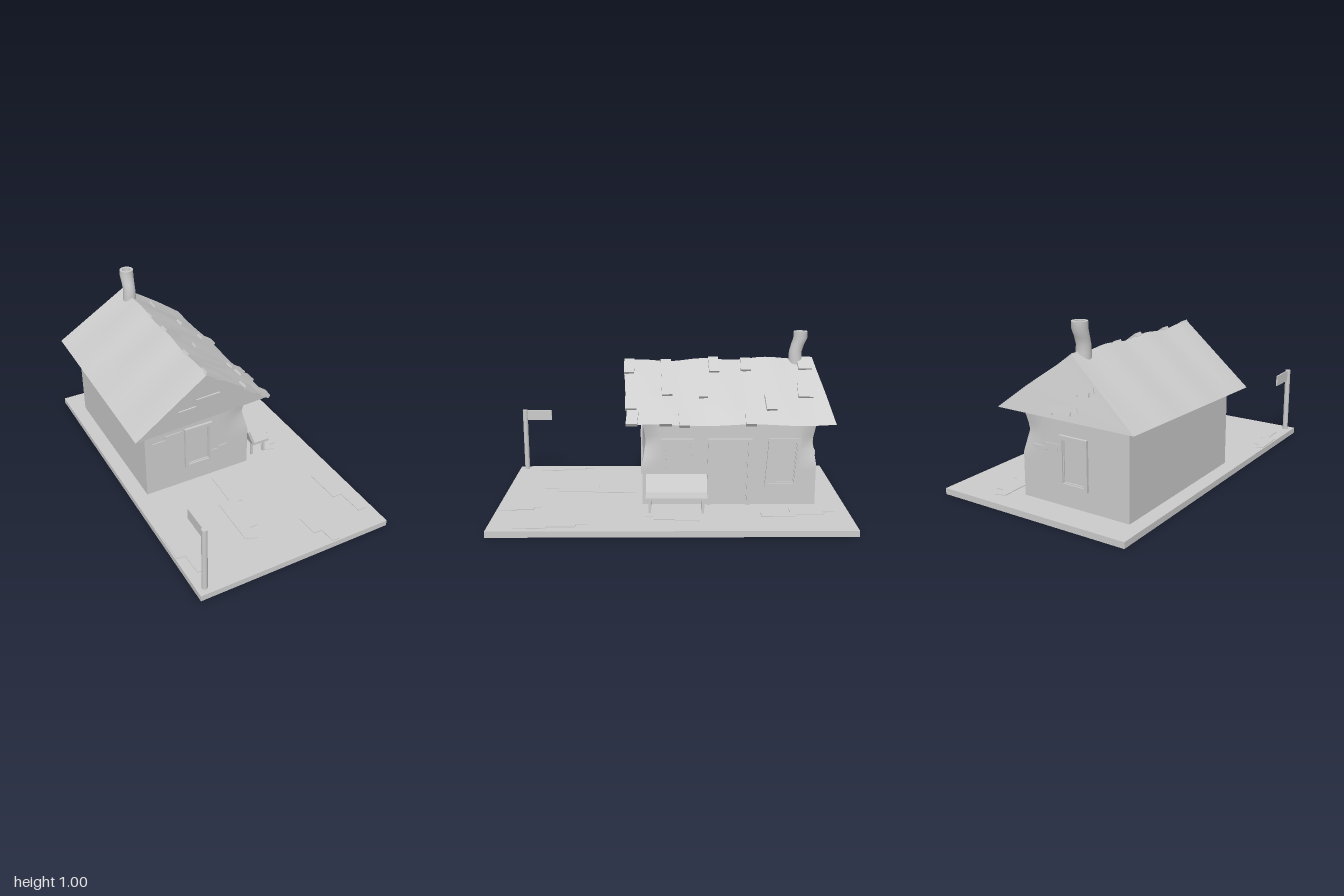
import * as THREE from 'three';
import { toCreasedNormals } from 'three/addons/utils/BufferGeometryUtils.js';

const mat = new THREE.MeshStandardMaterial({ color: 0xcccccc, side: THREE.DoubleSide });
const lerp = THREE.MathUtils.lerp;

export function createModel() {
  const root = new THREE.Group();

  function add(name, geo, parent = root) {
    const m = new THREE.Mesh(geo, mat);
    m.name = name;
    parent.add(m);
    return m;
  }
  // Box from its min and max corners
  function box(name, a, b, parent) {
    const m = add(name, new THREE.BoxGeometry(b[0] - a[0], b[1] - a[1], b[2] - a[2]), parent);
    m.position.set((a[0] + b[0]) / 2, (a[1] + b[1]) / 2, (a[2] + b[2]) / 2);
    return m;
  }
  // Move every vertex by a rule
  function warp(geo, rule) {
    const p = geo.attributes.position, v = new THREE.Vector3();
    for (let i = 0; i < p.count; i++) {
      rule(v.fromBufferAttribute(p, i));
      p.setXYZ(i, v.x, v.y, v.z);
    }
    geo.computeVertexNormals();
    return geo;
  }
  const poly = (pts) => new THREE.Shape(pts.map((p) => new THREE.Vector2(p[0], p[1])));
  const extrude = (shape, depth) => new THREE.ExtrudeGeometry(shape, { depth, bevelEnabled: false });

  // Ground slab
  box('groundSlab', [-0.585, 0, -1], [0.585, 0.035, 1]);

  // Walls: the two +x corners pinch inward near y = 0.41
  const walls = new THREE.BoxGeometry(0.665, 0.49, 1, 10, 12, 20);
  walls.translate(-0.1675, 0.28, -0.33);
  warp(walls, (v) => {
    const band = Math.max(0, 1 - Math.abs(v.y - 0.41) / 0.13);
    const nearEnd = Math.max(0, 1 - (0.5 - Math.abs(v.z + 0.33)) / 0.1);
    const nearSide = Math.max(0, 1 - (0.165 - v.x) / 0.13);
    const k = band * nearEnd * nearSide;
    v.x -= 0.032 * k;
    v.z -= Math.sign(v.z + 0.33) * 0.022 * k;
  });
  add('walls', toCreasedNormals(walls, 0.6));

  // Roof: a sagging closed prism, t runs from front (0) to back (1)
  const ridge = (t) => new THREE.Vector3(-0.17,
    lerp(0.822, 0.845, t) + 0.007 * Math.sin(t * 19), lerp(0.285, -0.84, t));
  const rightEave = (t) => new THREE.Vector3(0.25,
    0.53 + 0.005 * Math.sin(t * 13), lerp(0.25, -0.92, t));
  const leftEave = (t) => new THREE.Vector3(-0.585, lerp(0.49, 0.53, t), lerp(0.25, -0.92, t));
  const slope = (s, t) => {
    const p = ridge(t).lerp(rightEave(t), s);
    p.y += 0.006 * Math.sin(Math.PI * s) * Math.sin(t * 24 + s * 4);
    return p;
  };
  const verts = [], index = [], N = 24, K = 6;
  for (let i = 0; i <= N; i++) {
    const t = i / N;
    verts.push(...leftEave(t).toArray());
    for (let j = 0; j < K; j++) verts.push(...slope(j / (K - 1), t).toArray());
  }
  const R = K + 1;
  for (let i = 0; i < N; i++) {
    for (let j = 0; j < R; j++) {
      const a = i * R + j, b = i * R + (j + 1) % R;
      index.push(a, b, b + R, a, b + R, a + R);
    }
  }
  for (let j = 1; j < R - 1; j++) {
    index.push(0, j + 1, j, N * R, N * R + j, N * R + j + 1);
  }
  const roof = new THREE.BufferGeometry();
  roof.setAttribute('position', new THREE.Float32BufferAttribute(verts, 3));
  roof.setIndex(index);
  add('roof', toCreasedNormals(roof, 0.5));

  // Loose shingles on the +x slope: [s0, s1, z0, z1]
  const shingles = [
    [0, 0.23, 0.22, 0.28], [0.6, 0.78, 0.2, 0.265], [0.8, 1.01, 0.19, 0.255],
    [0, 0.58, 0.0, 0.06], [0.8, 1.01, 0.0, 0.07], [0.39, 0.6, -0.21, -0.16],
    [0, 0.22, -0.28, -0.22], [0, 0.2, -0.47, -0.41], [0.8, 1.02, -0.475, -0.415],
    [0.6, 0.81, -0.595, -0.535], [0.39, 0.6, -0.815, -0.73], [0, 0.18, -0.83, -0.75],
    [0.8, 1.02, -0.1, -0.04],
  ];
  const roofShingles = new THREE.Group();
  roofShingles.name = 'roofShingles';
  root.add(roofShingles);
  shingles.forEach(([s0, s1, z0, z1], i) => {
    const zc = (z0 + z1) / 2;
    const t = THREE.MathUtils.clamp((0.265 - zc) / 1.145, 0, 1);
    const a = slope(s0, t), b = slope(s1, t);
    const m = add('shingle', new THREE.BoxGeometry(Math.hypot(b.x - a.x, b.y - a.y), 0.022, z1 - z0), roofShingles);
    m.position.set((a.x + b.x) / 2, (a.y + b.y) / 2 + 0.003, zc);
    m.rotation.z = Math.atan2(b.y - a.y, b.x - a.x);
    m.rotation.y = 0.06 * Math.sin(i * 2.3);
  });

  // Crooked hollow chimney
  const profile = [[0.04, 0.72], [0.04, 0.8], [0.04, 0.84], [0.038, 0.88], [0.039, 0.92], [0.042, 0.96],
    [0.042, 1], [0.026, 1], [0.026, 0.95], [0.026, 0.9], [0, 0.9]].map((p) => new THREE.Vector2(...p));
  const chimney = warp(new THREE.LatheGeometry(profile, 20), (v) => {
    v.x -= 0.17;
    v.z += -0.74 - 0.028 * THREE.MathUtils.smoothstep(v.y, 0.88, 0.97);
  });
  add('chimney', toCreasedNormals(chimney, 0.7));

  // Openings: frame with a raised inner lip; local x runs along the wall
  function opening(name, x0, x1, y0, y1, skew, bottom) {
    const g = new THREE.Group();
    g.name = name;
    const ring = (o, i, depth) => {
      const rect = (d) => [[x0 + d, y0 + d * bottom], [x1 - d, y0 + d * bottom], [x1 - d, y1 - d], [x0 + d, y1 - d]];
      const shape = poly(rect(o));
      shape.holes.push(new THREE.Path(rect(i).map((p) => new THREE.Vector2(...p))));
      return extrude(shape, depth);
    };
    const bend = (v) => {
      const h = (v.y - y0) / (y1 - y0);
      v.x += skew * (h - 0.5 + 0.35 * Math.sin(h * Math.PI));
    };
    add('frame', warp(ring(0, 0.02, 0.027), bend), g).position.z = -0.012;
    add('innerLip', warp(ring(0.014, 0.026, 0.015), bend), g).position.z = -0.008;
    root.add(g);
    return g;
  }
  opening('frontWindow', -0.255, -0.08, 0.145, 0.42, 0, 1).position.z = 0.17;
  const backWindow = opening('backWindow', 0.08, 0.255, 0.145, 0.42, 0, 1);
  backWindow.rotation.y = Math.PI;
  backWindow.position.z = -0.83;
  [['sideWindowFront', -0.055, 0.135, 0.145, 0.43, -0.015, 1],
    ['door', 0.205, 0.455, 0.034, 0.43, 0.008, 0.05],
    ['sideWindowBack', 0.545, 0.73, 0.145, 0.43, 0.02, 1]].forEach((o) => {
    const g = opening(...o);
    g.rotation.y = Math.PI / 2;
    g.position.x = 0.165;
  });
  // Door leaf
  box('doorLeaf', [0.16, 0.036, -0.438], [0.169, 0.412, -0.222]);

  // Stepped patches of stone, scaled to a width and height
  const outline = [[0, 0], [0.45, 0.05], [0.45, 0.2], [0.84, 0.2], [0.84, 0.55], [1, 0.55],
    [0.95, 1], [0.4, 0.95], [0.4, 0.5], [0, 0.45]];
  function patch(name, w, h, depth, flip = 1) {
    const pts = outline.map(([x, y]) => [(x - 0.5) * w * flip, (y - 0.5) * h]);
    return add(name, extrude(poly(flip < 0 ? pts.reverse() : pts), depth));
  }
  [[-0.357, 0.385, 0.195, 0.055], [-0.025, 0.21, 0.11, 0.03]].forEach(([x, y, w, h]) =>
    patch('frontWallPatch', w, h, 0.008).position.set(x, y, 0.167));
  const backPatch = patch('backWallPatch', 0.19, 0.05, 0.008);
  backPatch.position.set(0.0, 0.34, -0.827);
  backPatch.rotation.y = Math.PI;
  const gable = patch('frontGablePatch', 0.265, 0.105, 0.012);
  gable.position.set(-0.2, 0.628, 0.259);
  gable.rotation.x = 0.11;
  [[-0.12, 0.575, -0.905, 0.28, 0.06], [-0.25, 0.68, -0.879, 0.175, 0.06]].forEach(([x, y, z, w, h]) => {
    const p = patch('backGablePatch', w, h, 0.012);
    p.position.set(x, y, z);
    p.rotation.set(0.25, Math.PI, 0);
  });

  // Paving patches on the ground: [x, z, width, length, flip]
  [[-0.53, 0.68, 0.1, 0.34, 1], [-0.11, 0.5, 0.15, 0.56, -1], [0.22, 0.87, 0.11, 0.24, 1],
    [0.49, 0.66, 0.12, 0.4, 1], [0.38, 0.0, 0.12, 0.3, -1], [0.31, -0.71, 0.13, 0.42, 1]]
    .forEach(([x, z, w, l, flip]) => {
      const p = patch('pavingPatch', l, w, 0.007, flip);
      p.rotation.set(-Math.PI / 2, 0, Math.PI / 2);
      p.position.set(x, 0.032, z);
    });

  // Bench with a leaning backrest
  const bench = new THREE.Group();
  bench.name = 'bench';
  root.add(bench);
  box('seat', [0.22, 0.115, -0.2], [0.335, 0.131, 0.148], bench);
  for (const x of [0.22, 0.302]) {
    for (const z of [0.118, -0.182]) box('leg', [x, 0.035, z], [x + 0.014, 0.115, z + 0.014], bench);
  }
  const back = extrude(poly([[0.22, 0.125], [0.234, 0.131], [0.197, 0.23], [0.183, 0.222]]), 0.348);
  add('backrest', back, bench).position.z = -0.2;

  // Signpost
  const post = add('signPost', new THREE.CylinderGeometry(0.016, 0.016, 0.4, 16));
  post.position.set(-0.54, 0.235, 0.955);
  box('signBoard', [-0.544, 0.367, 0.782], [-0.536, 0.432, 0.945]);

  return root;
}
